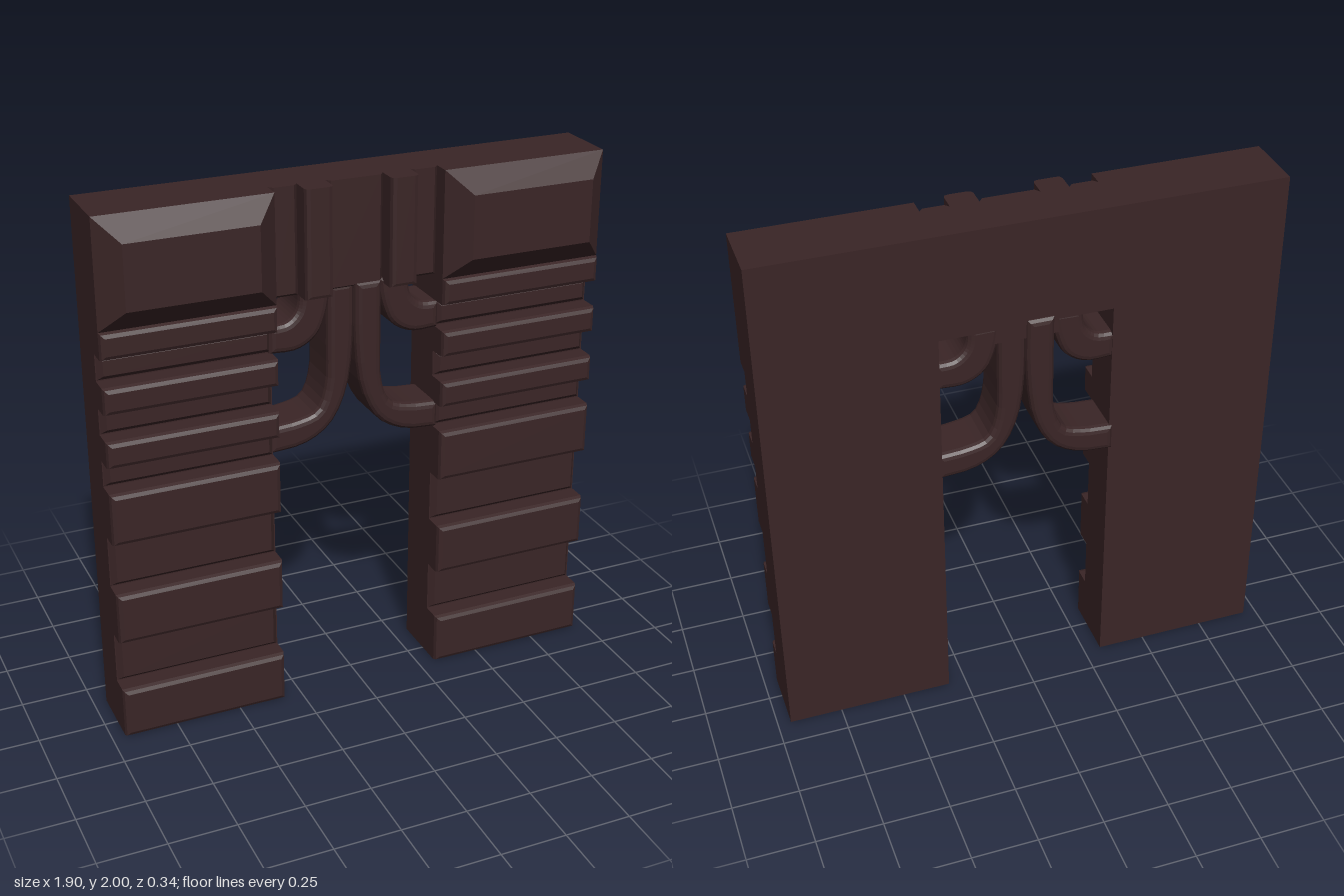
import * as THREE from 'three';

const BACK = -0.15, FACE = 0.03;
const IN = 0.317, OUT = 0.95;

// Stepped block on the slab face: levels are [z, inset] rectangles from back to front.
// An inset is one number or [left, right, bottom, top].
function steppedBlock(x0, x1, y0, y1, levels) {
  const pos = [];
  const loops = levels.map(([z, inset]) => {
    const [l, r, b, t] = Array.isArray(inset) ? inset : [inset, inset, inset, inset];
    return [[x0 + l, y0 + b, z], [x1 - r, y0 + b, z], [x1 - r, y1 - t, z], [x0 + l, y1 - t, z]];
  });
  const quad = (a, b, c, d) => pos.push(...a, ...b, ...c, ...a, ...c, ...d);
  for (let i = 0; i < loops.length - 1; i++) {
    for (let k = 0; k < 4; k++) {
      const n = (k + 1) % 4;
      quad(loops[i][k], loops[i][n], loops[i + 1][n], loops[i + 1][k]);
    }
  }
  quad(...loops[loops.length - 1]);
  const g = new THREE.BufferGeometry();
  g.setAttribute('position', new THREE.Float32BufferAttribute(pos, 3));
  g.computeVertexNormals();
  return g;
}

const RIB = [[FACE, 0], [0.095, 0], [0.108, 0.005], [0.115, 0.018]];
const PANEL = [[FACE, 0.004], [0.05, 0.022]];

// Curved band between an outer and an inner edge, extruded through the wall depth
function bandGeometry(outer, inner, side) {
  const curve = (pts) => new THREE.CatmullRomCurve3(
    pts.map(([x, y]) => new THREE.Vector3(x * side, y, 0))).getPoints(14);
  const outline = [...curve(outer), ...curve(inner).reverse()]
    .map((p) => new THREE.Vector2(p.x, p.y));
  return new THREE.ExtrudeGeometry(new THREE.Shape(outline), {
    depth: 0.15, bevelEnabled: true, bevelThickness: 0.025, bevelSize: 0.025,
    bevelOffset: -0.025, bevelSegments: 3,
  });
}

export function createModel() {
  const model = new THREE.Group();
  model.name = 'gateway';
  const stone = new THREE.MeshStandardMaterial({ color: 0x3a2526 });
  stone.name = 'dark brown stone';
  const add = (name, geometry, z = 0) => {
    const mesh = new THREE.Mesh(geometry, stone);
    mesh.name = name;
    mesh.position.z = z;
    model.add(mesh);
  };

  // Doorway slab: two pillars and a lintel in one piece
  const doorway = new THREE.Shape([
    [-OUT, 0], [-IN, 0], [-IN, 1.6], [IN, 1.6], [IN, 0], [OUT, 0], [OUT, 2], [-OUT, 2],
  ].map(([x, y]) => new THREE.Vector2(x, y)));
  add('doorwaySlab', new THREE.ExtrudeGeometry(doorway, { depth: FACE - BACK, bevelEnabled: false }), BACK);

  const ribs = [[0, 0.2], [0.4, 0.6], [0.8, 1], [1.1, 1.2], [1.3, 1.4], [1.5, 1.6]];
  for (const side of [-1, 1]) {
    const x0 = side < 0 ? -OUT : IN, x1 = side < 0 ? -IN : OUT;
    const label = side < 0 ? 'right' : 'left';

    // Pillar ribs with raised panels between them
    ribs.forEach(([y0, y1], i) => {
      add(label + 'PillarRib', steppedBlock(x0, x1, y0, y1, RIB));
      if (i < ribs.length - 1) {
        add(label + 'PillarPanel', steppedBlock(x0, x1, y1, ribs[i + 1][0], PANEL));
      }
    });

    // Bevelled capital
    add(label + 'Capital', steppedBlock(x0, x1, 1.6, 2, [
      [FACE, 0], [0.095, 0], [0.17, [0.08, 0.08, 0.085, 0.08]],
    ]));

    // Lintel rib and narrow panel
    const span = (a, b) => (side < 0 ? [-b, -a] : [a, b]);
    add(label + 'LintelRib', steppedBlock(...span(0.108, 0.212), 1.6, 2, [
      [FACE, 0], [0.095, 0], [0.108, [0.005, 0.005, 0.005, 0]], [0.112, [0.018, 0.018, 0.015, 0]],
    ]));
    add(label + 'LintelPanel', steppedBlock(...span(0.212, IN), 1.6, 2, [
      [FACE, 0], [0.046, [0.015, 0.015, 0.012, 0]],
    ]));

    // Long hanging root, one leaning back and the other forward
    add(label + 'LongRoot', bandGeometry(
      [[-0.004, 1.62], [-0.002, 1.4], [0.025, 1.2], [0.09, 1.075], [0.19, 1.015], [0.33, 1]],
      [[0.1, 1.62], [0.1, 1.4], [0.105, 1.23], [0.14, 1.14], [0.21, 1.115], [0.33, 1.105]],
      side), side < 0 ? -0.14 : -0.115);

    // Short upper root
    add(label + 'ShortRoot', bandGeometry(
      [[0.09, 1.62], [0.108, 1.52], [0.145, 1.44], [0.22, 1.395], [0.33, 1.395]],
      [[0.212, 1.62], [0.213, 1.57], [0.225, 1.535], [0.26, 1.505], [0.33, 1.5]],
      side), -0.125);
  }

  // Central lintel panel
  add('centralPanel', steppedBlock(-0.108, 0.108, 1.6, 2, [
    [FACE, 0], [0.05, [0.015, 0.015, 0.012, 0]],
  ]));
  // Root junction under the lintel
  add('rootJunction', new THREE.BoxGeometry(0.3, 0.06, 0.17).translate(0, 1.575, -0.063));

  return model;
}
